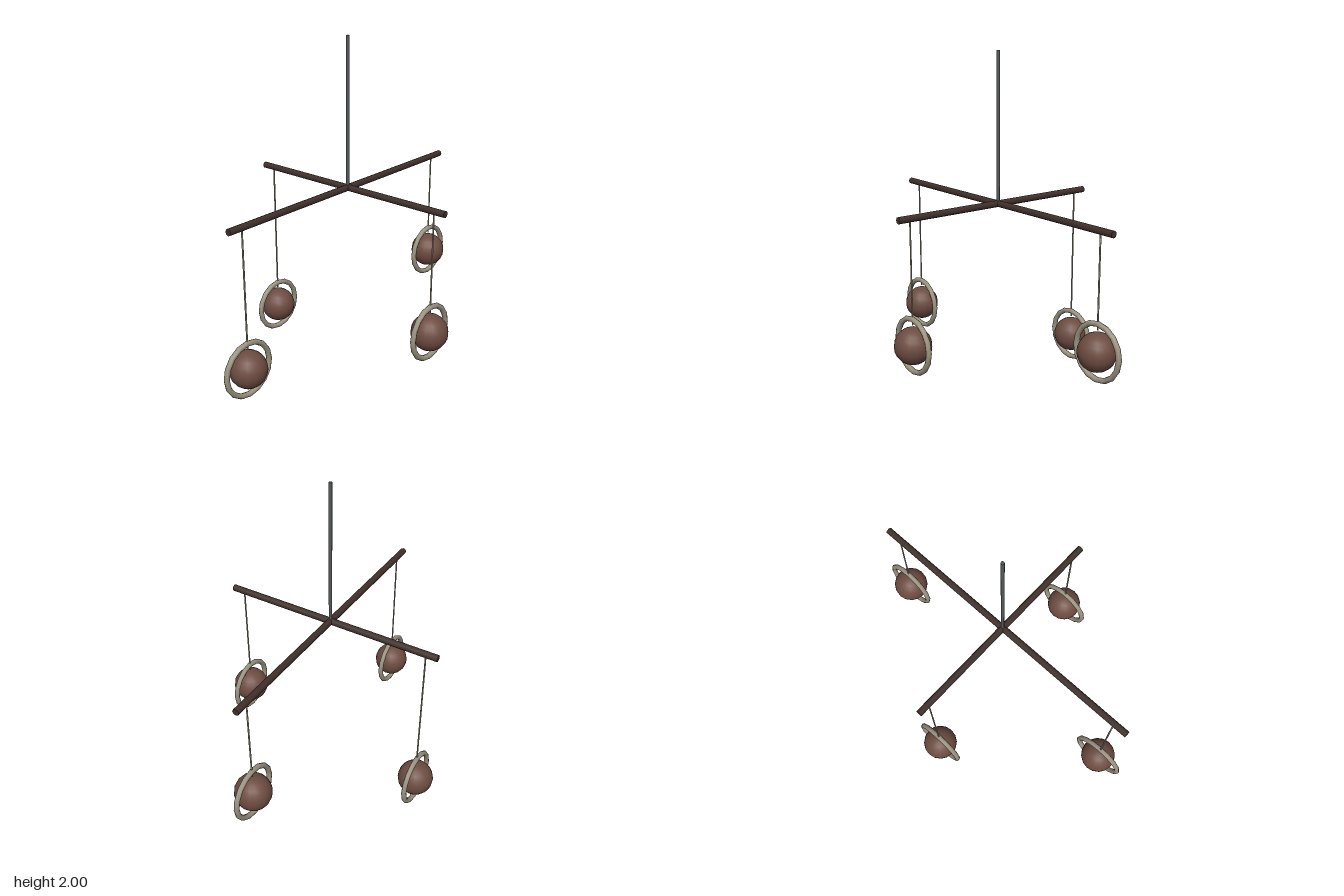
import * as THREE from 'three';

const material = (name, color) => {
  const m = new THREE.MeshStandardMaterial({ color });
  m.name = name;
  return m;
};

export function createModel() {
  const model = new THREE.Group();
  model.name = 'hangingMobile';

  const darkWood = material('dark wood', 0x40302b);
  const brown = material('brown', 0x6d4c41);
  const taupe = material('taupe', 0x9c9482);
  const steel = material('grey steel', 0x55595b);

  const barY = 1.125;

  const add = (parent, name, geometry, mat, x = 0, y = 0, z = 0) => {
    const mesh = new THREE.Mesh(geometry, mat);
    mesh.name = name;
    mesh.position.set(x, y, z);
    parent.add(mesh);
    return mesh;
  };

  // Ceiling rod
  add(model, 'ceilingRod', new THREE.CylinderGeometry(0.01, 0.01, 2 - barY, 8), steel, 0, (2 + barY) / 2, 0);

  // Crossed bars
  add(model, 'longBar', new THREE.CylinderGeometry(0.02, 0.02, 1.84, 8), darkWood, 0, barY, 0).rotation.z = Math.PI / 2;
  add(model, 'shortBar', new THREE.CylinderGeometry(0.02, 0.02, 1.364, 8), darkWood, 0, barY, 0).rotation.x = Math.PI / 2;

  // Hanging ornaments: a ball inside an upright ring, on a string
  const ball = new THREE.SphereGeometry(0.108, 16, 12);
  const ring = new THREE.TorusGeometry(0.156, 0.016, 8, 16);
  const ornaments = [
    ['left', 0.828, 0.47, 0],
    ['right', -0.828, 0.298, 0],
    ['front', 0, 0.398, 0.608],
    ['back', 0, 0.174, -0.608],
  ];
  for (const [side, x, y, z] of ornaments) {
    const group = new THREE.Group();
    group.name = side + 'Ornament';
    group.position.set(x, y, z);
    add(group, 'ball', ball, brown);
    add(group, 'ring', ring, taupe);
    const bottom = 0.122;
    const length = barY - y - bottom;
    add(group, 'string', new THREE.CylinderGeometry(0.005, 0.005, length, 6), taupe, 0, bottom + length / 2, 0);
    model.add(group);
  }

  return model;
}
